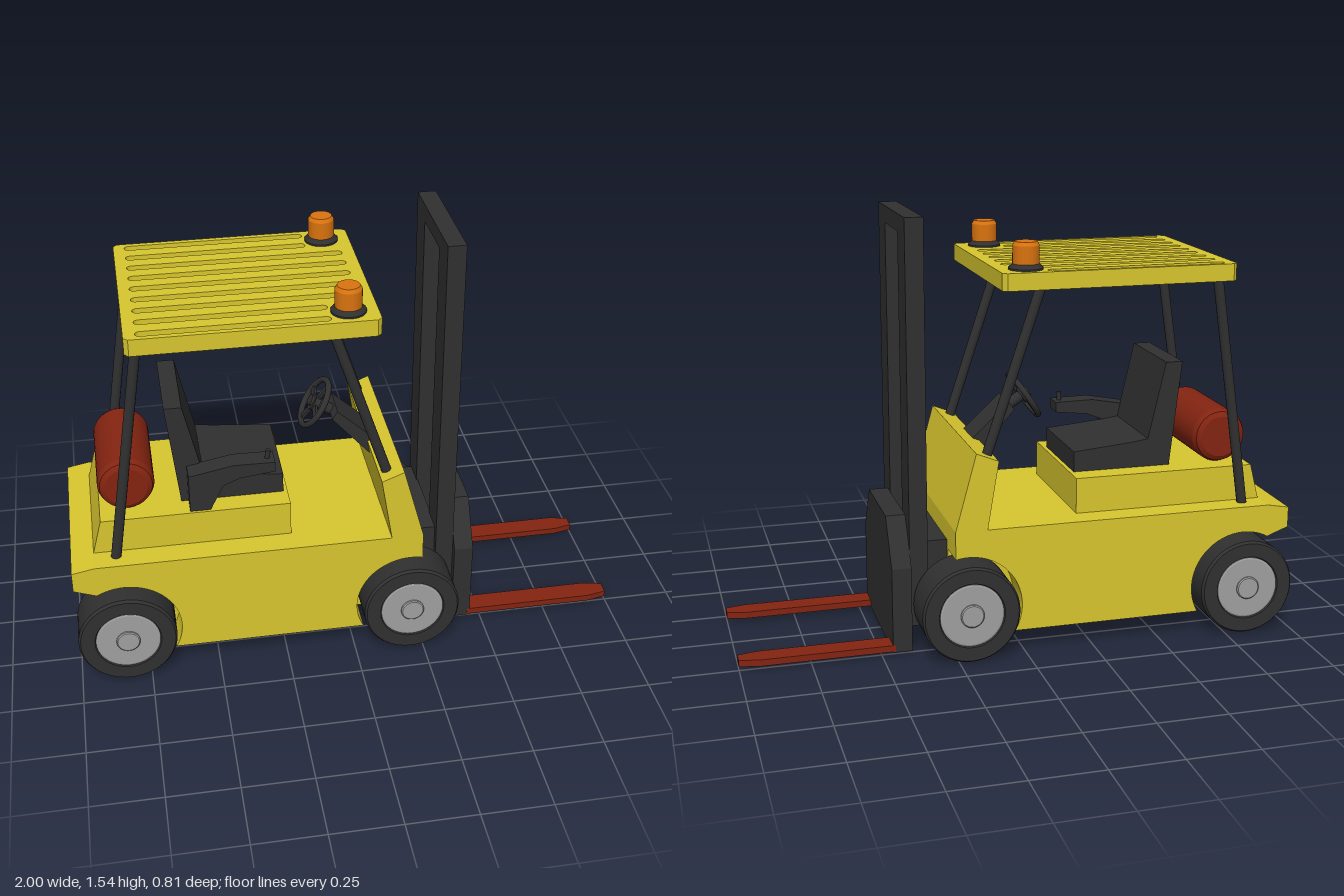
import * as THREE from 'three';

const mat = (name, color) => {
  const m = new THREE.MeshStandardMaterial({ color });
  m.name = name;
  return m;
};

export function createModel() {
  const yellow = mat('yellow paint', 0xd8c62e);
  const black = mat('black', 0x303030);
  const red = mat('dark red', 0x842411);
  const orange = mat('orange lamp', 0xd9730f);
  const grey = mat('wheel grey', 0xa0a0a0);
  const model = new THREE.Group();
  model.name = 'forklift';

  const add = (name, geo, material, x = 0, y = 0, z = 0, parent = model) => {
    const m = new THREE.Mesh(geo, material);
    m.name = name;
    m.position.set(x, y, z);
    parent.add(m);
    return m;
  };
  const shapeOf = pts => new THREE.Shape(pts.map(p => new THREE.Vector2(...p)));
  // Side profile (x, y) extruded from z0 to z1
  const slab = (name, shape, z0, z1, material) => add(name,
    new THREE.ExtrudeGeometry(shape, { depth: z1 - z0, bevelEnabled: false, curveSegments: 32 }),
    material, 0, 0, z0);
  // Box given by its limits
  const box = (name, x0, x1, y0, y1, z0, z1, material) => add(name,
    new THREE.BoxGeometry(x1 - x0, y1 - y0, z1 - z0), material,
    (x0 + x1) / 2, (y0 + y1) / 2, (z0 + z1) / 2);
  // Round bar between two points
  const rod = (name, a, b, r, material) => {
    const p = new THREE.Vector3(...a), q = new THREE.Vector3(...b), d = q.clone().sub(p);
    const m = add(name, new THREE.CylinderGeometry(r, r, d.length(), 16), material);
    m.position.copy(p).add(q).multiplyScalar(0.5);
    m.quaternion.setFromUnitVectors(new THREE.Vector3(0, 1, 0), d.normalize());
    return m;
  };
  const lathe = (pts, seg = 48) => {
    // Each profile segment is its own strip, so edges stay sharp
    const v = pts.flatMap((p, i) => i && i < pts.length - 1 ? [p, p] : [p]);
    return new THREE.LatheGeometry(v.map(p => new THREE.Vector2(...p)), seg);
  };

  // Body: solid core between the wheels, outer sides with wheel arches
  const wheelXs = [-0.825, 0.205], wheelY = 0.175, archR = 0.195;
  const upper = [[0.25, 0.465], [0.175, 0.742], [0.095, 0.71], [0.135, 0.465],
    [-0.92, 0.465], [-1, 0.45], [-1, 0.375], [-0.92, 0.35]];
  slab('bodyCore', shapeOf([[-0.92, 0.08], [0.25, 0.08], ...upper]), -0.22, 0.22, yellow);
  const side = new THREE.Shape();
  side.moveTo(-1, 0.375);
  side.absarc(wheelXs[0], wheelY, archR, 2.08, -0.51, true);
  side.absarc(wheelXs[1], wheelY, archR, Math.PI + 0.51, 1.337, true);
  side.lineTo(0.25, 0.37);
  upper.slice(0, 7).forEach(p => side.lineTo(...p));
  slab('leftBodySide', side, 0.22, 0.342, yellow);
  slab('rightBodySide', side, -0.342, -0.22, yellow);

  // Engine cover under the seat
  slab('engineCover', shapeOf([[-0.92, 0.46], [-0.215, 0.46], [-0.215, 0.595], [-0.885, 0.595]]),
    -0.25, 0.25, yellow);

  // Wheels
  const tyreGeo = lathe([[0, -0.085], [0.155, -0.085], [0.175, -0.075], [0.175, 0.075],
    [0.168, 0.085], [0.118, 0.085], [0.112, 0.075], [0, 0.075]]);
  const rimGeo = lathe([[0.114, 0.07], [0.114, 0.081], [0.108, 0.083], [0, 0.083]]);
  const hubGeo = lathe([[0.042, 0.08], [0.042, 0.089], [0.038, 0.092], [0, 0.092]], 32);
  for (const x of wheelXs) for (const s of [1, -1]) {
    const wheel = new THREE.Group();
    wheel.name = (x > 0 ? 'front' : 'rear') + 'Wheel';
    wheel.position.set(x, wheelY, s * 0.313);
    wheel.rotation.x = s * Math.PI / 2;
    model.add(wheel);
    add('tyre', tyreGeo, black, 0, 0, 0, wheel);
    add('rim', rimGeo, grey, 0, 0, 0, wheel);
    add('hubCap', hubGeo, grey, 0, 0, 0, wheel);
  }

  // Mast, bracket and fork carriage
  for (const s of [1, -1])
    box('mastPost', 0.325, 0.39, 0.09, 1.54, s > 0 ? 0.11 : -0.23, s > 0 ? 0.23 : -0.11, black);
  box('mastCrossbar', 0.325, 0.39, 1.48, 1.54, -0.11, 0.11, black);
  box('mastBracket', 0.24, 0.33, 0.2, 0.395, -0.205, 0.205, black);
  const carriage = new THREE.ExtrudeGeometry(shapeOf([[-0.26, 0.008], [0.26, 0.008], [0.26, 0.32],
    [0.16, 0.485], [-0.16, 0.485], [-0.26, 0.32]]), { depth: 0.07, bevelEnabled: false });
  add('carriage', carriage, black, 0.39).rotation.y = Math.PI / 2;

  // Forks with tapered tips
  const forkShape = shapeOf([[0.45, -0.039], [0.93, -0.039], [1, -0.024], [1, 0.024],
    [0.93, 0.039], [0.45, 0.039]]);
  for (const s of [1, -1])
    add('fork', new THREE.ExtrudeGeometry(forkShape, { depth: 0.024, bevelEnabled: false }),
      red, 0, 0.012, s * 0.222).rotation.x = -Math.PI / 2;

  // Slotted roof
  const roof = shapeOf([[-0.755, -0.345], [-0.74, -0.36], [0.07, -0.36], [0.085, -0.345],
    [0.085, 0.345], [0.07, 0.36], [-0.74, 0.36], [-0.755, 0.345]]);
  for (let i = -4; i <= 4; i++) {
    const z = i * 0.081, r = 0.016, x0 = -0.7, x1 = Math.abs(i) > 2 ? -0.095 : 0.025;
    const slot = new THREE.Path();
    slot.absarc(x1, z, r, Math.PI / 2, -Math.PI / 2, true);
    slot.absarc(x0, z, r, -Math.PI / 2, -Math.PI * 1.5, true);
    slot.closePath();
    roof.holes.push(slot);
  }
  add('roof', new THREE.ExtrudeGeometry(roof, { depth: 0.06, bevelEnabled: false, curveSegments: 6 }),
    yellow, 0, 1.3).rotation.x = -Math.PI / 2;

  // Roof posts and beacons
  const beaconGeo = lathe([[0.046, 0.015], [0.046, 0.082], [0.038, 0.095], [0, 0.095]], 32);
  const baseGeo = lathe([[0.06, 0], [0.06, 0.006], [0.044, 0.022], [0, 0.022]], 32);
  for (const s of [1, -1]) {
    const z = s * 0.28;
    rod('rearPost', [-0.842, 0.455, z], [-0.714, 1.31, z], 0.018, black);
    rod('frontPost', [0.135, 0.68, z], [-0.073, 1.31, z], 0.018, black);
    add('beaconBase', baseGeo, black, -0.015, 1.36, z);
    add('beacon', beaconGeo, orange, -0.015, 1.36, z);
  }

  // Seat
  slab('seatBack', shapeOf([[-0.595, 0.59], [-0.5, 0.59], [-0.512, 0.7], [-0.575, 0.98], [-0.637, 0.98]]),
    -0.17, 0.17, black);
  slab('seatCushion', shapeOf([[-0.52, 0.59], [-0.23, 0.59], [-0.23, 0.67], [-0.45, 0.69], [-0.52, 0.7]]),
    -0.17, 0.17, black);
  slab('armrest', shapeOf([[-0.57, 0.59], [-0.5, 0.59], [-0.45, 0.69], [-0.39, 0.715], [-0.265, 0.73],
    [-0.265, 0.768], [-0.41, 0.77], [-0.53, 0.747], [-0.57, 0.74]]), 0.165, 0.24, black);
  rod('controlLever', [-0.29, 0.76, 0.205], [-0.285, 0.8, 0.205], 0.009, black);

  // Gas bottle lying across the rear
  add('gasBottle', lathe([[0, -0.2], [0.075, -0.2], [0.092, -0.19], [0.1, -0.17],
    [0.1, 0.17], [0.092, 0.19], [0.075, 0.2], [0, 0.2]]), red, -0.785, 0.695, 0).rotation.x = Math.PI / 2;

  // Steering wheel and column
  slab('steeringColumn', shapeOf([[-0.035, 0.815], [0.11, 0.65], [0.12, 0.72], [-0.015, 0.845]]),
    -0.07, 0.07, black);
  rod('steeringShaft', [-0.105, 0.865, 0], [0, 0.8, 0], 0.02, black);
  const steering = new THREE.Group();
  steering.name = 'steeringWheel';
  steering.position.set(-0.088, 0.852, 0);
  steering.quaternion.setFromUnitVectors(new THREE.Vector3(0, 0, 1), new THREE.Vector3(-0.83, 0.55, 0).normalize());
  model.add(steering);
  add('steeringRim', new THREE.TorusGeometry(0.09, 0.011, 10, 36), black, 0, 0, 0, steering);
  for (let i = 0; i < 2; i++)
    add('steeringSpoke', new THREE.BoxGeometry(0.175, 0.02, 0.01), black, 0, 0, 0, steering)
      .rotation.z = Math.PI / 4 + i * Math.PI / 2;
  add('steeringHub', new THREE.CylinderGeometry(0.03, 0.03, 0.022, 20), black, 0, 0, 0, steering)
    .rotation.x = Math.PI / 2;

  return model;
}
